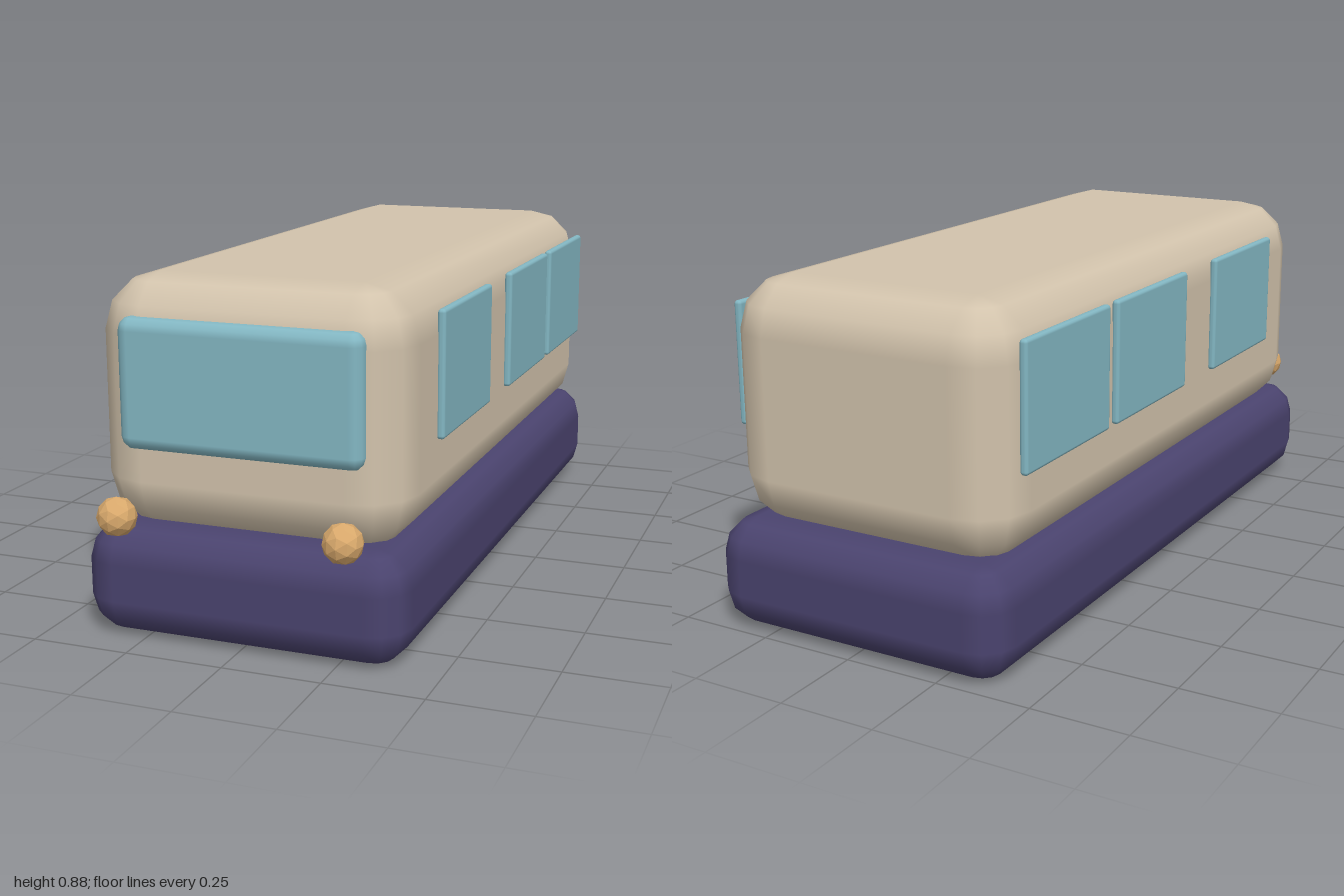
import * as THREE from 'three';

// Box with rounded edges of three facets each, given by its min and max corners.
// A sphere grid is pulled apart into eight corners, with a centre point closing each cap.
function roundedBlock(min, max, radius) {
  const geo = new THREE.SphereGeometry(1, 16, 9);
  const pos = geo.attributes.position;
  const nor = geo.attributes.normal;
  const centre = min.map((v, i) => (v + max[i]) / 2);
  const core = min.map((v, i) => (max[i] - v) / 2 - radius);
  const step = Math.PI / 6;
  for (let row = 0; row <= 9; row++) {
    const cap = row === 0 || row === 9;
    const top = row < 5;
    const v = row === 0 ? 0 : row === 9 ? Math.PI : (top ? row - 1 : row - 2) * step;
    for (let col = 0; col <= 16; col++) {
      const q = Math.floor(col / 4);
      const u = (q * 3 + (col % 4)) * step;
      const mid = (q + 0.5) * Math.PI / 2;
      const dir = [-Math.cos(u) * Math.sin(v), Math.cos(v), Math.sin(u) * Math.sin(v)];
      const side = [cap ? 0 : -Math.sign(Math.cos(mid)), top ? 1 : -1, cap ? 0 : Math.sign(Math.sin(mid))];
      const p = dir.map((d, i) => centre[i] + side[i] * core[i] + d * radius);
      pos.setXYZ(row * 17 + col, ...p);
      nor.setXYZ(row * 17 + col, ...dir);
    }
  }
  geo.computeBoundingSphere();
  return geo;
}

function material(name, color, flatShading = false) {
  const m = new THREE.MeshStandardMaterial({ color, flatShading });
  m.name = name;
  return m;
}

export function createModel() {
  const group = new THREE.Group();
  group.name = 'van';
  const cream = material('cream paint', 0xd2c3ac);
  const indigo = material('indigo paint', 0x4a436e);
  const glass = material('blue glass', 0x83b7c3);
  const amber = material('amber lamp', 0xd9a96c, true);

  const add = (name, geo, mat) => {
    const mesh = new THREE.Mesh(geo, mat);
    mesh.name = name;
    group.add(mesh);
    return mesh;
  };

  // Lower skirt and cabin
  add('skirt', roundedBlock([-0.415, 0, -1], [0.415, 0.28, 0.93], 0.093), indigo);
  add('cabin', roundedBlock([-0.398, 0.25, -0.947], [0.398, 0.883, 0.88], 0.138), cream);

  // Windscreen
  add('windscreen', roundedBlock([-0.311, 0.468, 0.83], [0.311, 0.791, 0.898], 0.033), glass);

  // Both sides: three windows and a headlamp
  for (const [side, s] of [['left', 1], ['right', -1]]) {
    const x = [0.394 * s, 0.4155 * s].sort((a, b) => a - b);
    [0.404, -0.2, -0.653].forEach((z, i) => {
      const geo = roundedBlock([x[0], 0.487, z - 0.206], [x[1], 0.805, z + 0.206], 0.009);
      add(`${side}Window${i + 1}`, geo, glass);
    });
    const lamp = add(`${side}Headlamp`, new THREE.IcosahedronGeometry(0.049, 1), amber);
    lamp.position.set(0.287 * s, 0.322, 0.952);
  }
  return group;
}
